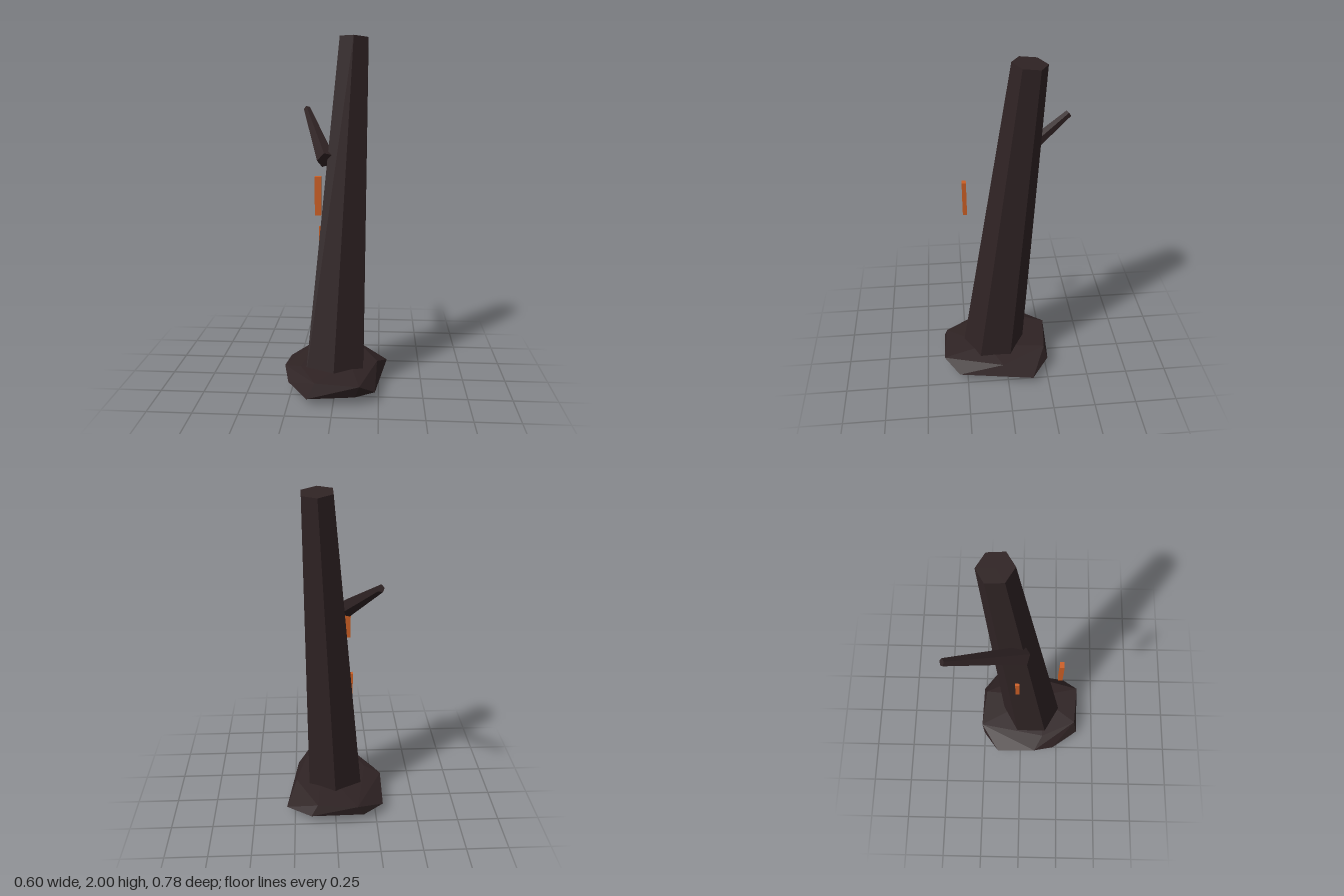
import * as THREE from 'three';
import { ConvexGeometry } from 'three/addons/geometries/ConvexGeometry.js';

export function createModel() {
  const group = new THREE.Group();
  const bark = new THREE.MeshStandardMaterial({ color: 0x2f2324, flatShading: true });
  bark.name = 'dark bark';
  const ember = new THREE.MeshStandardMaterial({ color: 0xcc5f24, flatShading: true });
  ember.name = 'ember orange';

  const add = (name, geometry, material) => {
    const mesh = new THREE.Mesh(geometry, material);
    mesh.name = name;
    group.add(mesh);
    return mesh;
  };

  // Tapered, faceted limb running between two points
  const limb = (name, from, to, r0, r1, sides) => {
    const a = new THREE.Vector3(...from);
    const b = new THREE.Vector3(...to);
    const axis = b.clone().sub(a);
    const mesh = add(name, new THREE.CylinderGeometry(r1, r0, axis.length(), sides), bark);
    mesh.position.copy(a).add(b).multiplyScalar(0.5);
    mesh.quaternion.setFromUnitVectors(new THREE.Vector3(0, 1, 0), axis.normalize());
  };

  // Leaning six-sided trunk and its broken branch
  limb('trunk', [-0.008, 0.026, 0.082], [0.09, 1.991, -0.115], 0.192, 0.092, 6);
  limb('branch', [-0.062, 1.315, 0.018], [-0.209, 1.587, -0.378], 0.052, 0.021, 5);

  // Rough mound around the foot of the trunk
  const moundPoints = [
    [-0.145, 0.045, 0.388], [0.145, 0.125, 0.39], [-0.1, 0.13, 0.37], [0.12, 0.05, 0.36],
    [0.23, 0.055, 0.3], [0.24, 0.122, 0.03], [0.3, 0.055, -0.15],
    [0.15, 0.07, -0.26], [0.11, 0.135, -0.24], [-0.13, 0.135, -0.265],
    [-0.17, 0.065, -0.25], [-0.295, 0.065, -0.155], [-0.3, 0.11, 0.095],
    [-0.265, 0.065, 0.223], [-0.2, 0.13, 0.15],
    [0.08, 0.15, 0.12], [0.03, 0.002, 0.1], [0.12, 0.022, -0.08], [-0.1, 0.028, -0.03],
  ].map((p) => new THREE.Vector3(...p));
  add('rootMound', new ConvexGeometry(moundPoints), bark);

  // Glowing slivers: one floating in front, one half sunk in the bark
  [['floatingSliver', 1.145, 0.223], ['embeddedSliver', 0.82, -0.02]].forEach(([name, y, z]) => {
    add(name, new THREE.BoxGeometry(0.034, 0.21, 0.024), ember).position.set(-0.088, y, z);
  });

  return group;
}
